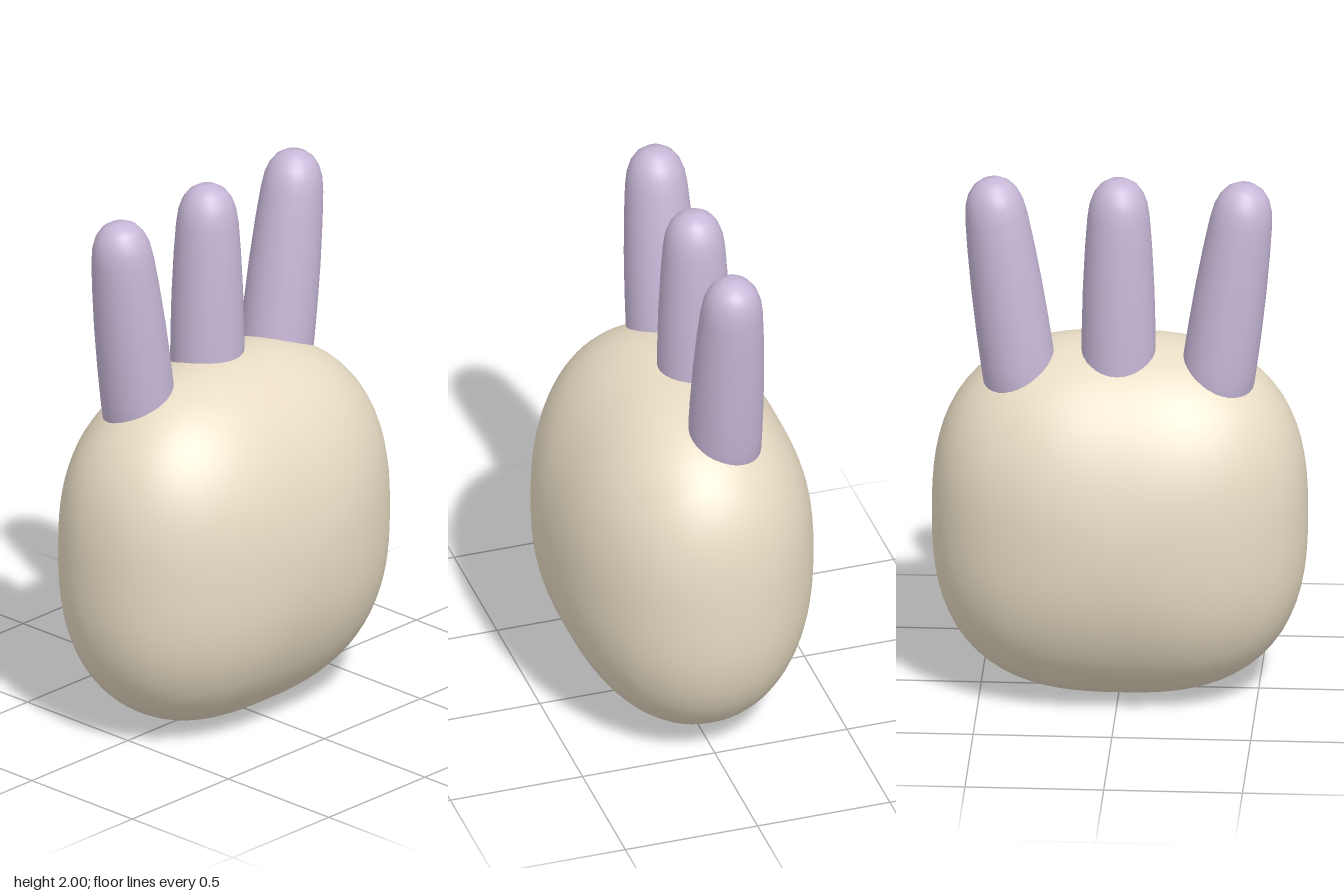
import * as THREE from 'three';
import { mergeVertices } from 'three/addons/utils/BufferGeometryUtils.js';

// Rounded cushion: squarish from the front, elliptical from the side and top
function palmGeometry(a, b, c) {
  let geo = new THREE.BoxGeometry(2, 2, 2, 20, 20, 20);
  geo.deleteAttribute('uv');
  geo.deleteAttribute('normal');
  geo = mergeVertices(geo);
  const pos = geo.attributes.position;
  const p = 2.65;
  for (let i = 0; i < pos.count; i++) {
    const v = new THREE.Vector3().fromBufferAttribute(pos, i);
    // even out the spacing before projecting on to the surface
    v.set(...v.toArray().map(t => Math.tan(t * Math.PI / 4)));
    const x = Math.abs(v.x), y = Math.abs(v.y), z = Math.abs(v.z);
    const q = 2.02 + 0.16 * x * x / (x * x + y * y + 1e-6);
    const ring = Math.pow(x ** p + y ** p, 1 / p);
    const k = 1 / Math.pow(ring ** q + z ** q, 1 / q);
    pos.setXYZ(i, v.x * k * a, v.y * k * b, v.z * k * c);
  }
  geo.computeVertexNormals();
  return geo;
}

// Slightly tapered finger with a rounded tip, its origin near the root
function fingerGeometry() {
  const profile = [
    [0, -0.35], [0.132, -0.34], [0.134, 0], [0.133, 0.12], [0.129, 0.28], [0.121, 0.44],
    [0.113, 0.55], [0.105, 0.605], [0.09, 0.646], [0.068, 0.676], [0.038, 0.695], [0, 0.7],
  ].map(([r, y]) => new THREE.Vector2(r, y));
  return new THREE.LatheGeometry(profile, 32);
}

export function createModel() {
  const group = new THREE.Group();
  const cream = new THREE.MeshStandardMaterial({ color: 0xe8dcc4 });
  const lilac = new THREE.MeshStandardMaterial({ color: 0xc8b8d8 });

  const palm = new THREE.Mesh(palmGeometry(0.677, 0.678, 0.477), cream);
  palm.name = 'palm';
  palm.position.y = 0.68;
  group.add(palm);

  // Three fingers, the outer two leaning outwards
  const geo = fingerGeometry();
  ['rightFinger', 'middleFinger', 'leftFinger'].forEach((name, i) => {
    const side = i - 1;
    const finger = new THREE.Mesh(geo, lilac);
    finger.name = name;
    finger.position.set(side * 0.365, 1.3, -0.083);
    finger.rotation.z = -side * 0.138;
    group.add(finger);
  });
  return group;
}
